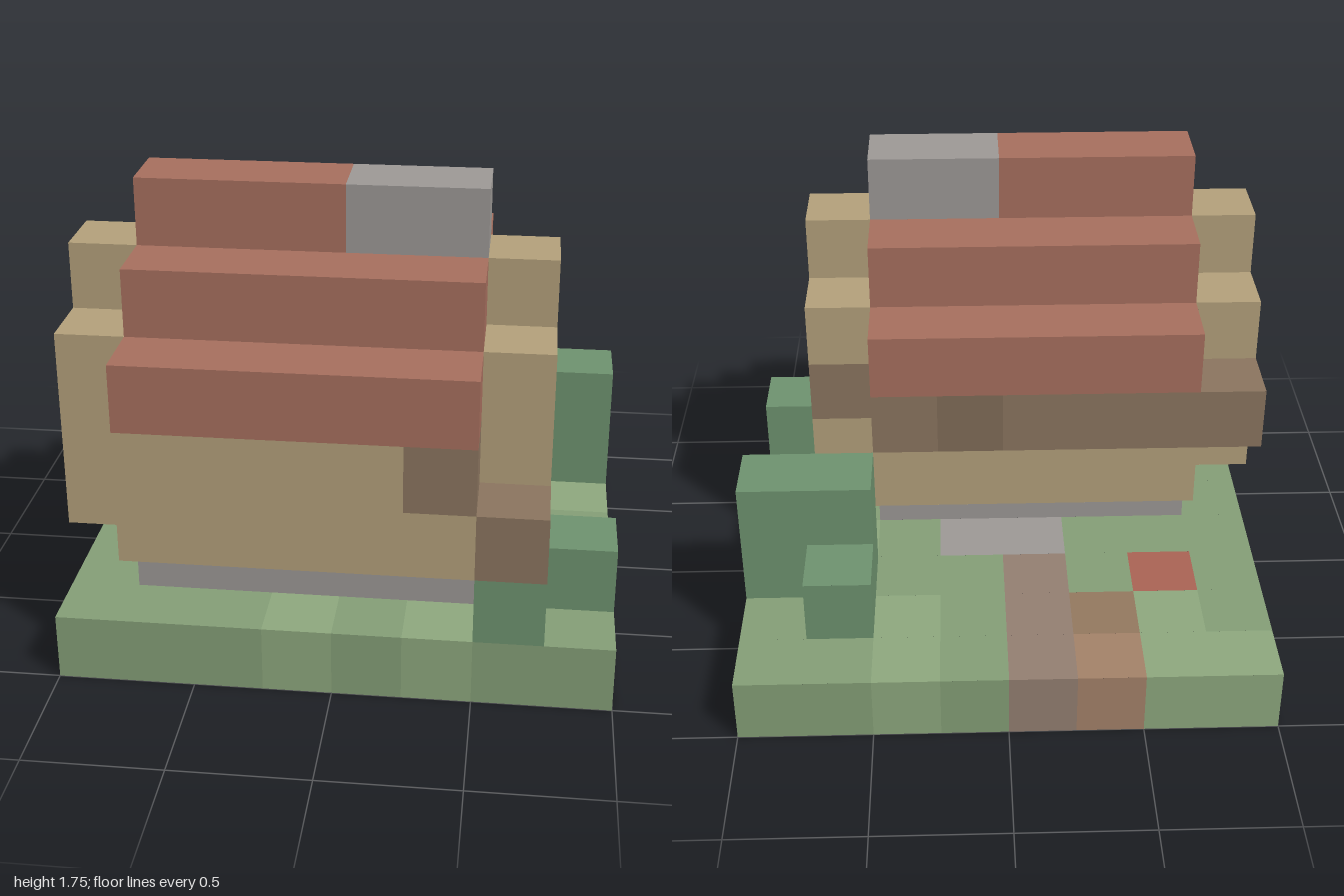
import * as THREE from 'three';
import { mergeGeometries } from 'three/addons/utils/BufferGeometryUtils.js';

const CELL = 0.25, N = 8; // the house is a block build on an 8 x 8 grid
const C = {
  grass: 0x86a078, lightGrass: 0x8fa97f, leaf: 0x6f9470, stone: 0x9e9a97,
  plaster: 0xb5a27c, timber: 0x8c7660, darkTimber: 0x826d58, roof: 0xa8705f,
  path: 0xa5836a, pathDark: 0x957a60, pathGrey: 0x958072, flower: 0xab6455,
};

const DIRS = [[1, 0, 0], [-1, 0, 0], [0, 1, 0], [0, -1, 0], [0, 0, 1], [0, 0, -1]];

export function createModel() {
  const cells = new Map();
  const key = (i, j, k) => `${i},${j},${k}`;

  // Fill an inclusive range of cells; later fills replace earlier ones
  function fill(part, color, [i0, i1], [j0, j1], [k0, k1]) {
    for (let i = i0; i <= i1; i++)
      for (let j = j0; j <= j1; j++)
        for (let k = k0; k <= k1; k++)
          cells.set(key(i, j, k), { part, color, i, j, k });
  }

  // Ground, rows from back to front, with the garden path
  const kinds = {
    G: ['lawn', C.grass], L: ['lawn', C.lightGrass], P: ['path', C.path], B: ['path', C.pathDark],
    p: ['path', C.pathGrey], S: ['path', C.stone], R: ['flowerPatch', C.flower],
  };
  ['LLPpGLGG', 'GLBpGLGG', 'GRGpGGGG', 'GGGSSGLL', 'GGGGGGGG', 'GGGGGGGL', 'GGGGGGGG', 'GGGLGLGG']
    .forEach((row, k) => [...row].forEach((c, i) => fill(...kinds[c], [i, i], [0, 0], [k, k])));

  // Foundation and overhanging house body
  fill('foundation', C.stone, [1, 5], [1, 1], [4, 6]);
  fill('walls', C.plaster, [1, 5], [2, 3], [3, 7]);

  // Stepped gable at each end
  for (const i of [0, 6]) {
    fill('gable', C.plaster, [i, i], [2, 4], [4, 6]);
    fill('gable', C.plaster, [i, i], [5, 5], [5, 5]);
    fill('timber', C.timber, [i, i], [3, 3], [4, 4]);
  }

  // Timber band at the back and corner blocks
  fill('timber', C.timber, [0, 5], [3, 3], [3, 3]);
  fill('timber', C.darkTimber, [4, 4], [3, 3], [3, 3]);
  fill('timber', C.timber, [5, 5], [3, 3], [7, 7]);
  fill('timber', C.timber, [6, 6], [2, 2], [7, 7]);

  // Stepped roof with the chimney on its ridge
  for (let s = 0; s < 3; s++) fill('roof', C.roof, [1, 5], [4 + s, 4 + s], [3 + s, 7 - s]);
  fill('chimney', C.stone, [4, 5], [6, 6], [5, 5]);

  // Bushes
  fill('backBush', C.leaf, [6, 7], [1, 2], [2, 2]);
  fill('backBush', C.leaf, [6, 6], [1, 1], [1, 1]);
  fill('frontBush', C.leaf, [6, 6], [1, 1], [7, 7]);
  fill('frontBush', C.leaf, [7, 7], [1, 1], [6, 6]);

  // Keep only exposed faces, leaving the underside of the ground open
  const batches = new Map();
  for (const { part, color, i, j, k } of cells.values()) {
    for (const [dx, dy, dz] of DIRS) {
      if (cells.has(key(i + dx, j + dy, k + dz)) || j + dy < 0) continue;
      const face = new THREE.PlaneGeometry(CELL, CELL)
        .lookAt(new THREE.Vector3(dx, dy, dz))
        .translate(
          (i + 0.5 + dx / 2 - N / 2) * CELL,
          (j + 0.5 + dy / 2) * CELL,
          (k + 0.5 + dz / 2 - N / 2) * CELL);
      const id = `${part}|${color}`;
      if (!batches.has(id)) batches.set(id, { part, color, faces: [] });
      batches.get(id).faces.push(face);
    }
  }

  // One mesh per part and colour
  const model = new THREE.Group();
  model.name = 'blockHouse';
  for (const { part, color, faces } of batches.values()) {
    const mesh = new THREE.Mesh(
      mergeGeometries(faces),
      new THREE.MeshStandardMaterial({ color, side: THREE.DoubleSide }));
    mesh.name = part;
    model.add(mesh);
  }
  return model;
}
